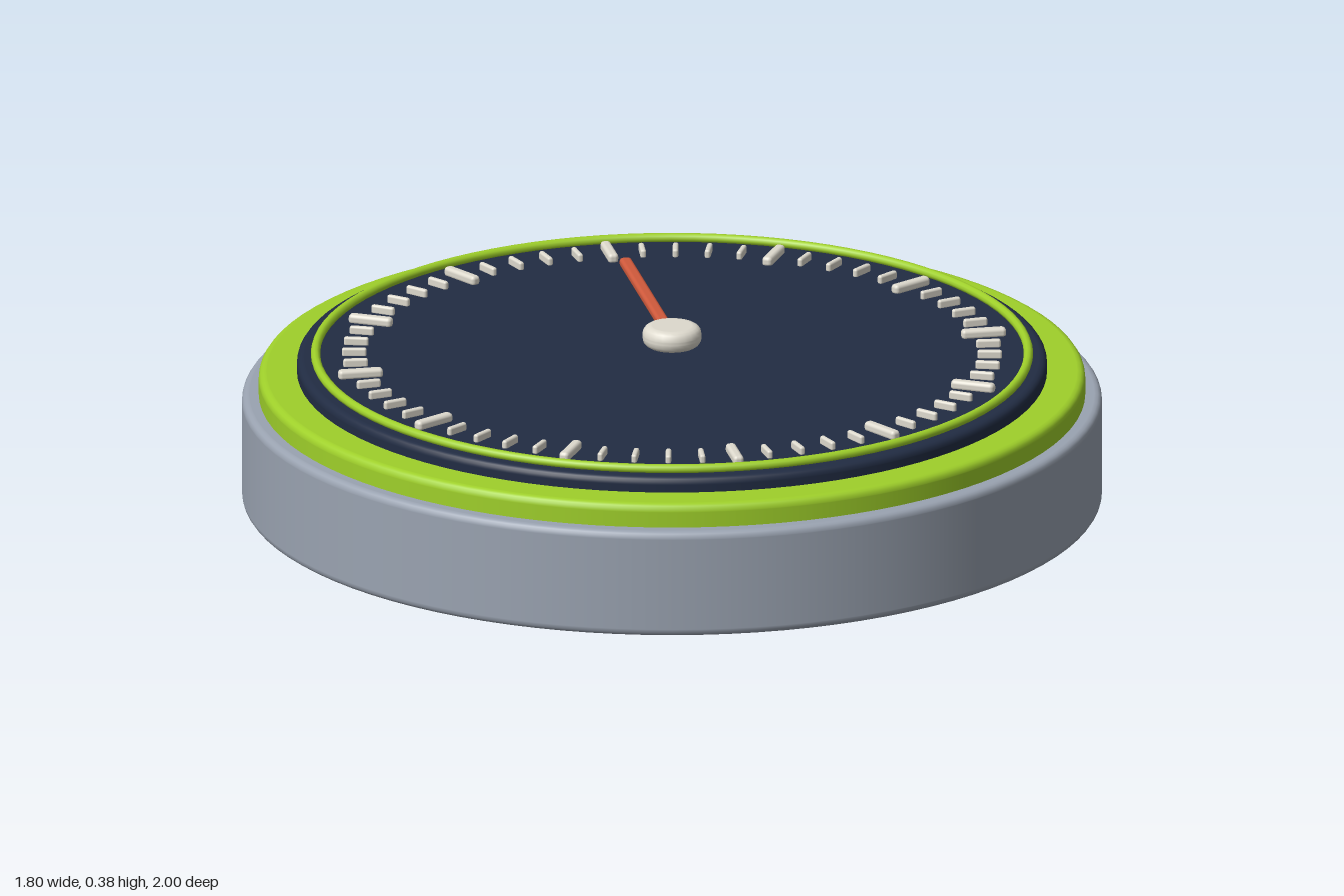
import * as THREE from 'three';
import { RoundedBoxGeometry } from 'three/addons/geometries/RoundedBoxGeometry.js';

const material = (name, color) => {
  const m = new THREE.MeshStandardMaterial({ color });
  m.name = name;
  return m;
};

// Solid disc with rounded rims, standing from y0 to y1
function roundedDisc(radius, y0, y1, bevel, sides = 96) {
  const e = 0.002;
  const pts = [[0, y0], [radius - bevel - e, y0]];
  const arc = (cy, from) => {
    for (let i = 0; i <= 4; i++) {
      const a = from + (i / 4) * Math.PI / 2;
      pts.push([radius - bevel + Math.cos(a) * bevel, cy + Math.sin(a) * bevel]);
    }
  };
  arc(y0 + bevel, -Math.PI / 2);
  pts.push([radius, y0 + bevel + e], [radius, y1 - bevel - e]);
  arc(y1 - bevel, 0);
  pts.push([radius - bevel - e, y1], [0, y1]);
  return new THREE.LatheGeometry(pts.map(p => new THREE.Vector2(...p)), sides);
}

export function createModel() {
  const group = new THREE.Group();
  group.name = 'stopwatch';

  const grey = material('caseGrey', 0x9aa3b1);
  const green = material('limeGreen', 0x9fd02a);
  const navy = material('dialNavy', 0x212c43);
  const cream = material('markerCream', 0xdedace);
  const red = material('signalRed', 0xd05a3c);

  const add = (name, geometry, mat, x, y, z, parent = group) => {
    const mesh = new THREE.Mesh(geometry, mat);
    mesh.name = name;
    mesh.position.set(x, y, z);
    parent.add(mesh);
    return mesh;
  };

  // Round watch, its centre shifted forward to make room for the crown
  const watch = new THREE.Group();
  watch.name = 'watch';
  watch.position.z = 0.1;
  group.add(watch);
  add('case', roundedDisc(0.9, 0, 0.23, 0.014), grey, 0, 0, 0, watch);
  add('bezel', roundedDisc(0.865, 0.2, 0.28, 0.015), green, 0, 0, 0, watch);
  add('dial', roundedDisc(0.785, 0.25, 0.312, 0.014), navy, 0, 0, 0, watch);
  add('dialRing', new THREE.TorusGeometry(0.746, 0.01, 10, 96), green, 0, 0.319, 0, watch)
    .rotation.x = Math.PI / 2;

  // Sixty minute markers, every fifth one larger
  const major = new RoundedBoxGeometry(0.022, 0.022, 0.095, 2, 0.008);
  const minor = new RoundedBoxGeometry(0.012, 0.02, 0.052, 2, 0.005);
  for (let i = 0; i < 60; i++) {
    const a = (i / 60) * Math.PI * 2;
    const big = i % 5 === 0;
    add(big ? 'hourMarker' : 'minuteMarker', big ? major : minor, cream,
      Math.sin(a) * 0.665, 0.319, Math.cos(a) * 0.665, watch).rotation.y = a;
  }

  // Hand and its hub
  add('hand', new RoundedBoxGeometry(0.026, 0.02, 0.5, 2, 0.008), red, 0, 0.355, -0.25, watch);
  add('hub', roundedDisc(0.062, 0.336, 0.381, 0.018, 24), cream, 0, 0, 0, watch);

  // Crown on its stem
  add('stem', new THREE.CylinderGeometry(0.067, 0.067, 0.18, 32), grey, 0, 0.12, -0.83)
    .rotation.x = Math.PI / 2;
  add('crown', new RoundedBoxGeometry(0.28, 0.165, 0.105, 4, 0.025), green, 0, 0.122, -0.9475);

  // Side button
  add('sideButton', new RoundedBoxGeometry(0.205, 0.15, 0.138, 4, 0.025), red, 0.6575, 0.125, -0.56);

  return group;
}
